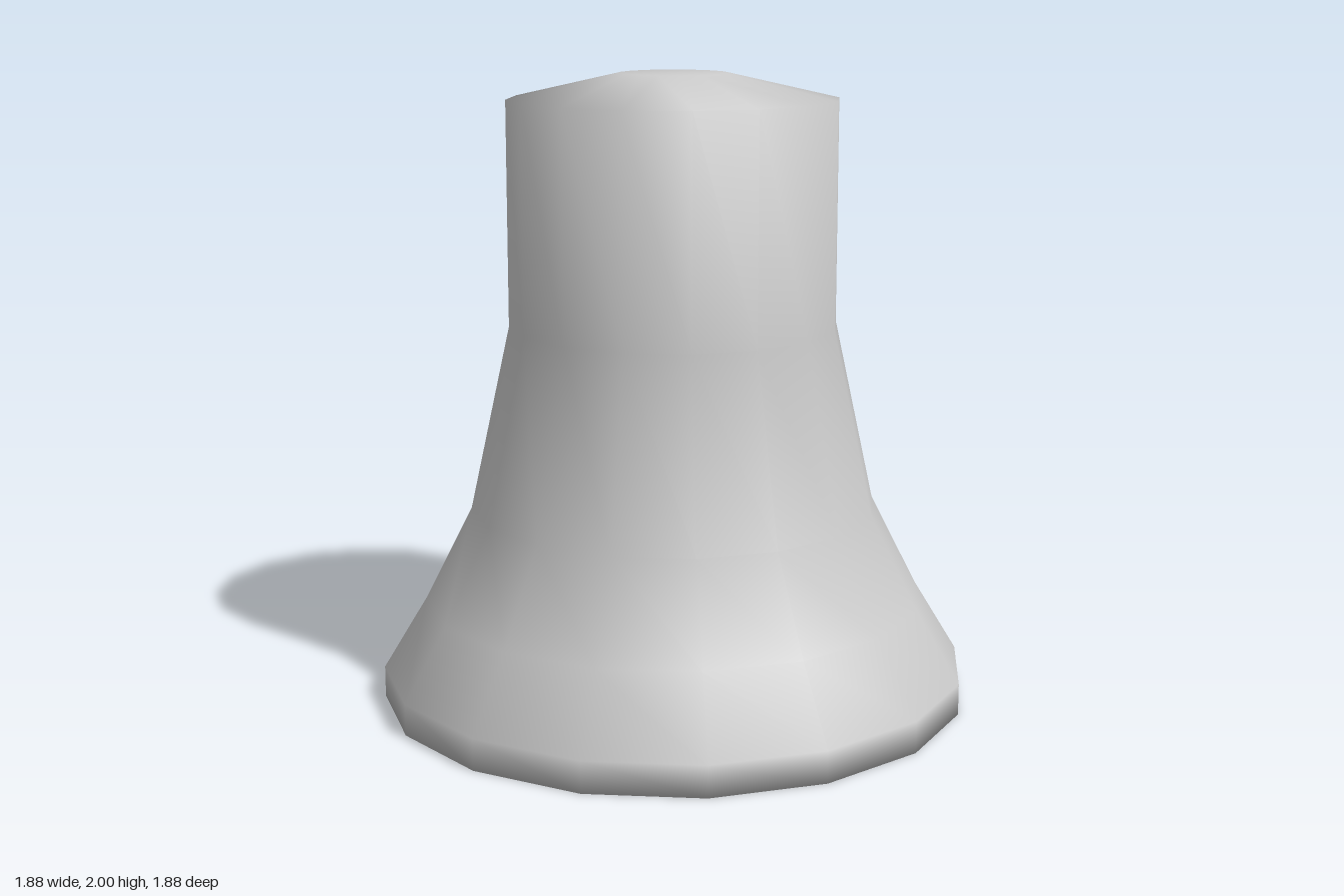
import * as THREE from 'three';
import { mergeVertices } from 'three/addons/utils/BufferGeometryUtils.js';

export function createModel() {
  const group = new THREE.Group();
  group.name = 'flaredPost';

  // Closed profile: flat underside, low rim, flared skirt, straight neck, shallow domed cap
  const profile = [
    [0, 0], [0.94, 0], [0.94, 0.1], [0.8, 0.33], [0.65, 0.625],
    [0.522, 1.21], [0.522, 1.92], [0.17, 2], [0, 2],
  ].map(([r, y]) => new THREE.Vector2(r, y));

  // Weld the 16-sided lathe so shading flows smoothly over the rim and cap
  const lathe = new THREE.LatheGeometry(profile, 16);
  lathe.deleteAttribute('normal');
  lathe.deleteAttribute('uv');
  const geometry = mergeVertices(lathe, 1e-4);
  geometry.computeVertexNormals();

  const body = new THREE.Mesh(geometry, new THREE.MeshStandardMaterial({ color: 0xcccccc }));
  body.name = 'flaredBody';
  group.add(body);
  return group;
}
